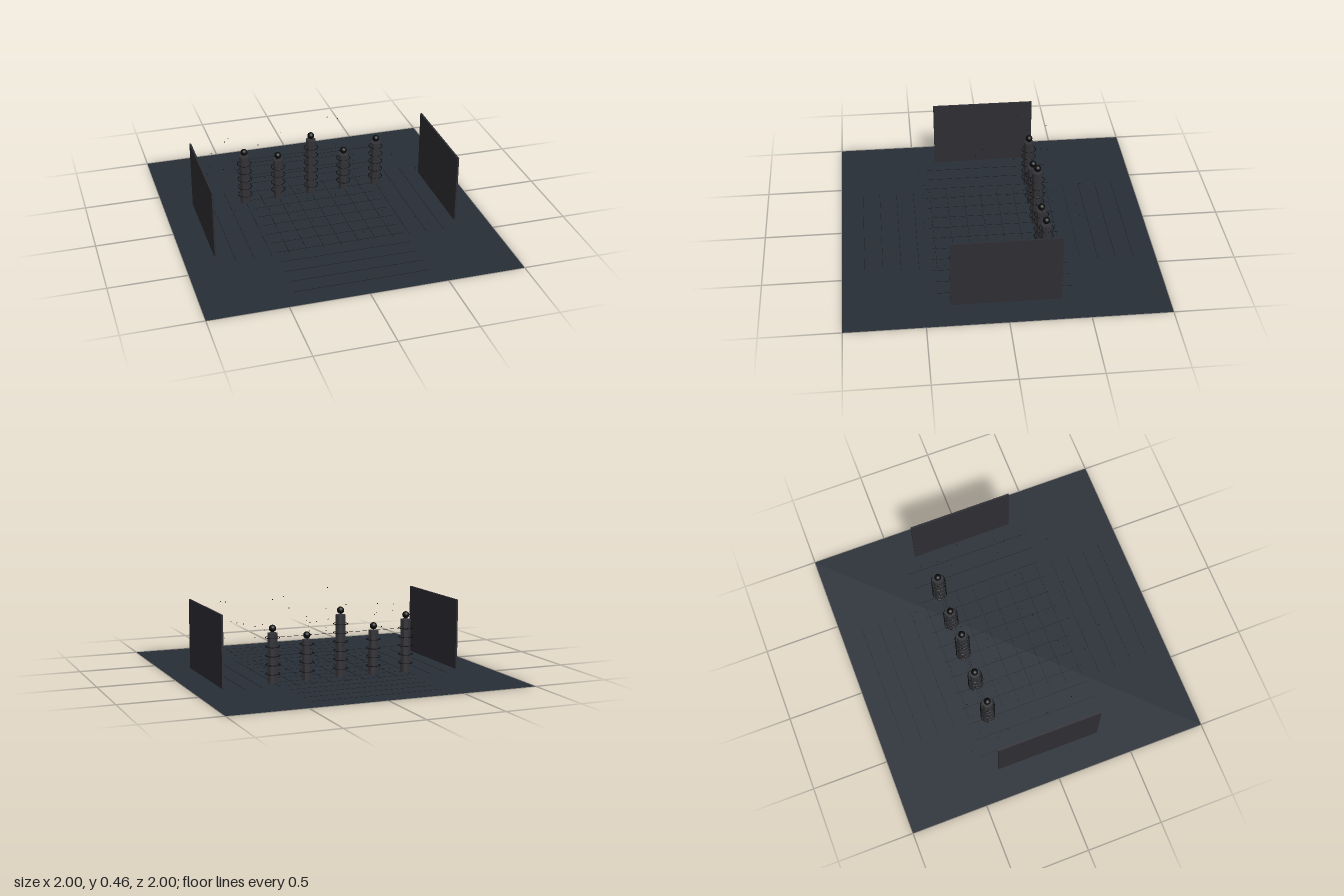
import * as THREE from 'three';

const U = 1 / 35; // layout module: the floor is 70 modules wide

const paint = (color, extra = {}) => new THREE.MeshStandardMaterial({ color, ...extra });
const floorPaint = paint(0x282e36, { side: THREE.DoubleSide });
const wallPaint = paint(0x2d2d33);
const pillarPaint = paint(0x333338, { flatShading: true });
const blackPaint = paint(0x08090a);
const linePaint = paint(0x15181b);

// Adds a named mesh at a position given in modules
function add(parent, name, geometry, material, x, y, z) {
  const mesh = new THREE.Mesh(geometry, material);
  mesh.name = name;
  mesh.position.set(x * U, y * U, z * U);
  parent.add(mesh);
  return mesh;
}

const box = (w, h, d) => new THREE.BoxGeometry(w * U, h * U, d * U);

// Small seeded generator for the floating specks
function seeded(seed) {
  return () => {
    seed = (seed * 16807) % 2147483647;
    return seed / 2147483647;
  };
}

// Faceted column with a ball on top and a ring every two modules
function makePillar(x, height) {
  const pillar = new THREE.Group();
  pillar.name = 'pillar';
  pillar.position.set(x * U, 0, -10 * U);
  const shaft = new THREE.CylinderGeometry(1.2 * U, 1.2 * U, height * U, 8);
  add(pillar, 'pillarShaft', shaft, pillarPaint, 0, height / 2, 0);
  add(pillar, 'pillarBall', new THREE.SphereGeometry(0.8 * U, 16, 12), blackPaint, 0, height + 1, 0);
  const ring = new THREE.TorusGeometry(1.6 * U, 0.08 * U, 6, 24).rotateX(Math.PI / 2);
  for (let y = 2; y < height; y += 2) add(pillar, 'pillarRing', ring, blackPaint, 0, y, 0);
  return pillar;
}

export function createModel() {
  const model = new THREE.Group();
  model.name = 'arena';

  // Floor sheet
  const sheet = new THREE.PlaneGeometry(70 * U, 70 * U).rotateX(-Math.PI / 2);
  add(model, 'floor', sheet, floorPaint, 0, 0, 0);

  // Thin grid lines on the floor
  const lines = new THREE.Group();
  lines.name = 'floorLines';
  model.add(lines);
  const acrossLine = box(30, 0.05, 0.06);
  const depthLine = box(0.06, 0.05, 30);
  for (let z = -30; z <= 30; z += 4) add(lines, 'acrossLine', acrossLine, linePaint, 0, 0.05, z);
  for (let x = -24; x <= 24; x += 4) add(lines, 'depthLine', depthLine, linePaint, x, 0.05, 0);

  // Side walls
  for (const side of [-1, 1]) {
    add(model, side > 0 ? 'leftWall' : 'rightWall', box(0.4, 16, 24), wallPaint, side * 28, 8, 0);
  }

  // Row of pillars
  [12, 10, 14, 9, 11].forEach((height, i) => model.add(makePillar((i - 2) * 8, height)));

  // Wires strung along the pillars
  for (const y of [6, 10]) add(model, 'wire', box(30, 0.06, 0.06), linePaint, 0, y, -10);

  // Floating specks
  const random = seeded(7);
  const specks = new THREE.Group();
  specks.name = 'specks';
  model.add(specks);
  const speck = new THREE.SphereGeometry(0.12 * U, 6, 4);
  for (let i = 0; i < 60; i++) {
    add(specks, 'speck', speck, blackPaint,
      (random() - 0.5) * 48, 1.4 + random() * 14.5, (random() - 0.5) * 39);
  }
  return model;
}
